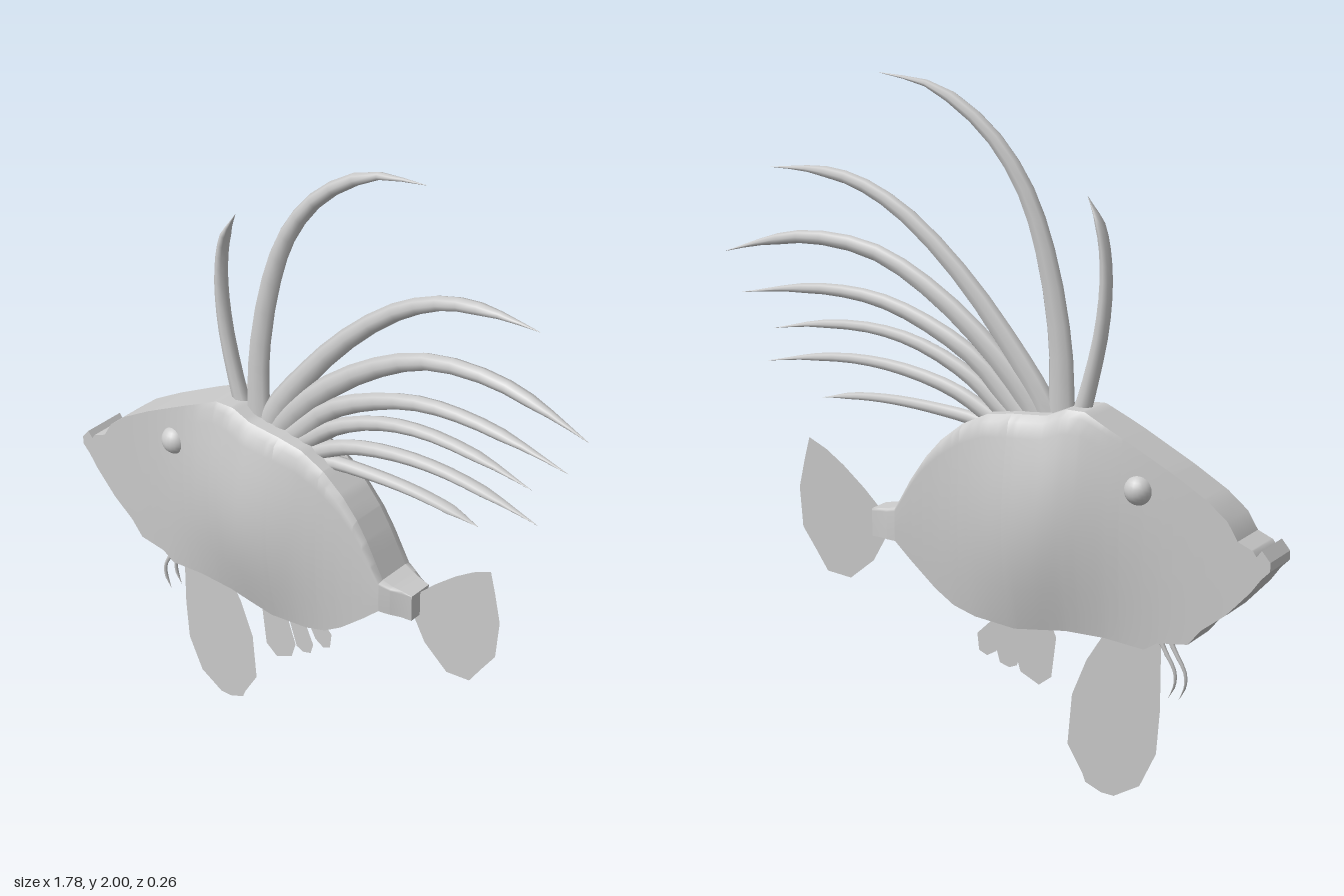
import * as THREE from 'three';
import { mergeVertices, toCreasedNormals } from 'three/addons/utils/BufferGeometryUtils.js';

const material = new THREE.MeshStandardMaterial({ color: 0xcccccc });
const finMaterial = new THREE.MeshStandardMaterial({ color: 0xcccccc, side: THREE.DoubleSide });

// Body outline seen from the side, nose to tail root
const TOP = [[-0.885, 0.775], [-0.86, 0.805], [-0.845, 0.785], [-0.835, 0.8], [-0.79, 0.82], [-0.76, 0.87],
  [-0.7, 0.92], [-0.6, 0.98], [-0.45, 1.06], [-0.33, 1.12], [-0.27, 1.12], [-0.21, 1.095], [-0.1, 1.088],
  [-0.02, 1.077], [0.06, 1.04], [0.13, 0.985], [0.18, 0.93], [0.22, 0.87], [0.25, 0.815], [0.275, 0.77],
  [0.31, 0.76], [0.37, 0.75]];
const BOTTOM = [[-0.885, 0.75], [-0.86, 0.725], [-0.83, 0.684], [-0.76, 0.61], [-0.69, 0.557], [-0.65, 0.51],
  [-0.56, 0.5], [-0.52, 0.475], [-0.4, 0.49], [-0.28, 0.492], [-0.12, 0.473], [0.01, 0.488], [0.08, 0.51],
  [0.14, 0.55], [0.22, 0.62], [0.275, 0.672], [0.37, 0.667]];

function heightAt(line, x) {
  const i = Math.min(Math.max(line.findIndex(p => p[0] >= x), 1), line.length - 1);
  const [a, b] = [line[i - 1], line[i]];
  return a[1] + (b[1] - a[1]) * (x - a[0]) / (b[0] - a[0]);
}

// Surface through rows of points
function grid(rows) {
  const n = rows[0].length, index = [];
  for (let i = 0; i < rows.length - 1; i++) {
    for (let j = 0; j < n - 1; j++) {
      const a = i * n + j, b = a + n;
      index.push(a, b, b + 1, a, b + 1, a + 1);
    }
  }
  const g = new THREE.BufferGeometry().setFromPoints(rows.flat());
  g.setIndex(index);
  g.computeVertexNormals();
  return g;
}

function add(parent, name, geometry, mat = material) {
  const mesh = new THREE.Mesh(geometry, mat);
  mesh.name = name;
  parent.add(mesh);
  return mesh;
}

function createBody() {
  const body = new THREE.Group();
  body.name = 'body';
  const xs = [...TOP, ...BOTTOM].map(p => p[0]);
  for (let i = 1; i < 40; i++) xs.push(-0.885 + 1.255 * i / 40);
  const columns = [...new Set(xs)].sort((a, b) => a - b);
  const heights = [0, 0.03, 0.1, 0.2, 0.3, 0.4, 0.5, 0.6, 0.7, 0.8, 0.9, 0.97, 1];

  // Flat rim, bulging flank, softened upper edge, narrowing tail root
  const halfWidth = (x, v) => {
    const bulge = 0.06 * Math.exp(-(((x + 0.2) / 0.24) ** 2));
    const tail = THREE.MathUtils.smoothstep(x, 0.27, 0.37);
    const edge = v === 1 ? 0.018 * THREE.MathUtils.smoothstep(x, -0.45, -0.2) : 0;
    return 0.068 + bulge * (0.12 + 0.88 * Math.sin(Math.PI * v)) - 0.03 * tail - edge * (1 - tail);
  };
  const point = (x, v, side) => new THREE.Vector3(x,
    THREE.MathUtils.lerp(heightAt(BOTTOM, x), heightAt(TOP, x), v), side * halfWidth(x, v));

  for (const side of [1, -1]) {
    const rows = columns.map(x => heights.map(v => point(x, v, side)));
    add(body, side > 0 ? 'frontFlank' : 'backFlank', grid(side > 0 ? rows : rows.reverse()));
  }
  // Rim running over the back, round the tail root and under the belly
  const loop = [...columns.map(x => [x, 1]), ...columns.slice().reverse().map(x => [x, 0])];
  loop.push(loop[0]);
  const rim = grid(loop.map(([x, v]) => [point(x, v, 1), point(x, v, 0), point(x, v, -1)]));
  add(body, 'bodyRim', toCreasedNormals(rim, 0.6));
  return body;
}

// Tapering ray along a curve in the plane of the fish
function ray(points, width, depth, steps = 16, sides = 8) {
  const curve = new THREE.CatmullRomCurve3(points.map(([x, y]) => new THREE.Vector3(x, y, 0)));
  const rows = [];
  for (let i = 0; i <= steps; i++) {
    const t = i / steps, c = curve.getPoint(t), d = curve.getTangent(t);
    const w = width / 2 * (0.22 + 0.78 * (1 - t) ** 0.9) * Math.min(1, (1 - t) * 5 + 0.05);
    const h = depth * Math.min(1, (1 - t) * 5 + 0.02);
    const ring = [];
    for (let j = 0; j <= sides; j++) {
      const a = j / sides * Math.PI * 2;
      ring.push(new THREE.Vector3(c.x + d.y * w * Math.cos(a), c.y - d.x * w * Math.cos(a), h * Math.sin(a)));
    }
    rows.push(ring);
  }
  const g = grid(rows);
  g.deleteAttribute('normal');
  const merged = mergeVertices(g, 1e-5);
  merged.computeVertexNormals();
  return merged;
}

// Thin flat fin
function fin(points) {
  return new THREE.ShapeGeometry(new THREE.Shape(points.map(p => new THREE.Vector2(...p))));
}

// Dorsal spines: width, then path from root to tip
const SPINES = [
  [0.06, [[-0.28, 1.08], [-0.3, 1.14], [-0.347, 1.34], [-0.358, 1.5], [-0.34, 1.62], [-0.3, 1.7]]],
  [0.09, [[-0.225, 1.06], [-0.225, 1.14], [-0.22, 1.29], [-0.175, 1.53], [-0.106, 1.71], [0.01, 1.86], [0.18, 1.97], [0.355, 2]]],
  [0.085, [[-0.19, 1.06], [-0.16, 1.13], [-0.07, 1.26], [0.09, 1.45], [0.275, 1.61], [0.434, 1.69], [0.58, 1.715], [0.725, 1.713]]],
  [0.085, [[-0.16, 1.06], [-0.12, 1.12], [0.01, 1.26], [0.196, 1.405], [0.38, 1.495], [0.59, 1.52], [0.75, 1.495], [0.89, 1.455]]],
  [0.075, [[-0.12, 1.05], [-0.07, 1.1], [0.037, 1.21], [0.196, 1.3], [0.354, 1.355], [0.513, 1.372], [0.67, 1.363], [0.835, 1.337]]],
  [0.065, [[-0.08, 1.05], [-0.03, 1.09], [0.063, 1.165], [0.222, 1.24], [0.38, 1.272], [0.566, 1.268], [0.725, 1.24]]],
  [0.06, [[-0.04, 1.03], [0.01, 1.065], [0.116, 1.12], [0.275, 1.162], [0.434, 1.177], [0.593, 1.167], [0.75, 1.14]]],
  [0.05, [[0, 1.02], [0.04, 1.04], [0.17, 1.06], [0.328, 1.071], [0.46, 1.066], [0.56, 1.05]]],
];

export function createModel() {
  const fish = new THREE.Group();
  fish.name = 'fish';
  fish.add(createBody());

  // Eyes on both flanks
  for (const side of [1, -1]) {
    add(fish, 'eye', new THREE.SphereGeometry(0.043, 20, 14)).position.set(-0.497, 0.923, side * 0.062);
  }

  const spines = new THREE.Group();
  spines.name = 'dorsalSpines';
  fish.add(spines);
  for (const [width, path] of SPINES) add(spines, 'dorsalSpine', ray(path, width, 0.022));

  add(fish, 'tailFin', fin([[0.345, 0.66], [0.37, 0.745], [0.42, 0.795], [0.49, 0.855], [0.55, 0.897], [0.608, 0.925],
    [0.625, 0.86], [0.645, 0.77], [0.635, 0.65], [0.59, 0.585], [0.55, 0.525], [0.47, 0.515], [0.39, 0.58]]), finMaterial);

  add(fish, 'bellyFin', fin([[-0.54, 0.5], [-0.38, 0.5], [-0.31, 0.39], [-0.265, 0.28], [-0.252, 0.13], [-0.3, 0.05],
    [-0.31, 0.025], [-0.36, 0.003], [-0.4, 0], [-0.48, 0.045], [-0.53, 0.15], [-0.54, 0.28]]), finMaterial);

  // Overlapping lobes of the rear lower fin, staggered in depth
  const lobes = [
    [[[-0.17, 0.5], [-0.2, 0.43], [-0.185, 0.31], [-0.145, 0.28], [-0.085, 0.31], [-0.07, 0.36], [-0.12, 0.5]], 0.026],
    [[[-0.14, 0.5], [-0.085, 0.335], [-0.06, 0.325], [-0.03, 0.335], [-0.02, 0.37], [-0.08, 0.5]], 0.004],
    [[[-0.1, 0.5], [-0.03, 0.375], [0, 0.358], [0.026, 0.37], [0.032, 0.42], [-0.02, 0.47], [-0.05, 0.5]], -0.018],
  ];
  for (const [outline, z] of lobes) add(fish, 'rearFinLobe', fin(outline), finMaterial).position.z = z;

  // Pair of short curled barbels
  const barbel = [[-0.55, 0.5], [-0.575, 0.45], [-0.603, 0.4], [-0.605, 0.36], [-0.585, 0.315]];
  [[0, 0.012], [0.02, -0.014]].forEach(([dx, z], i) => {
    add(fish, 'barbel', ray(barbel, 0.018, 0.006, 10, 6)).position.set(dx - 0.005, i * 0.01, z);
  });
  return fish;
}
